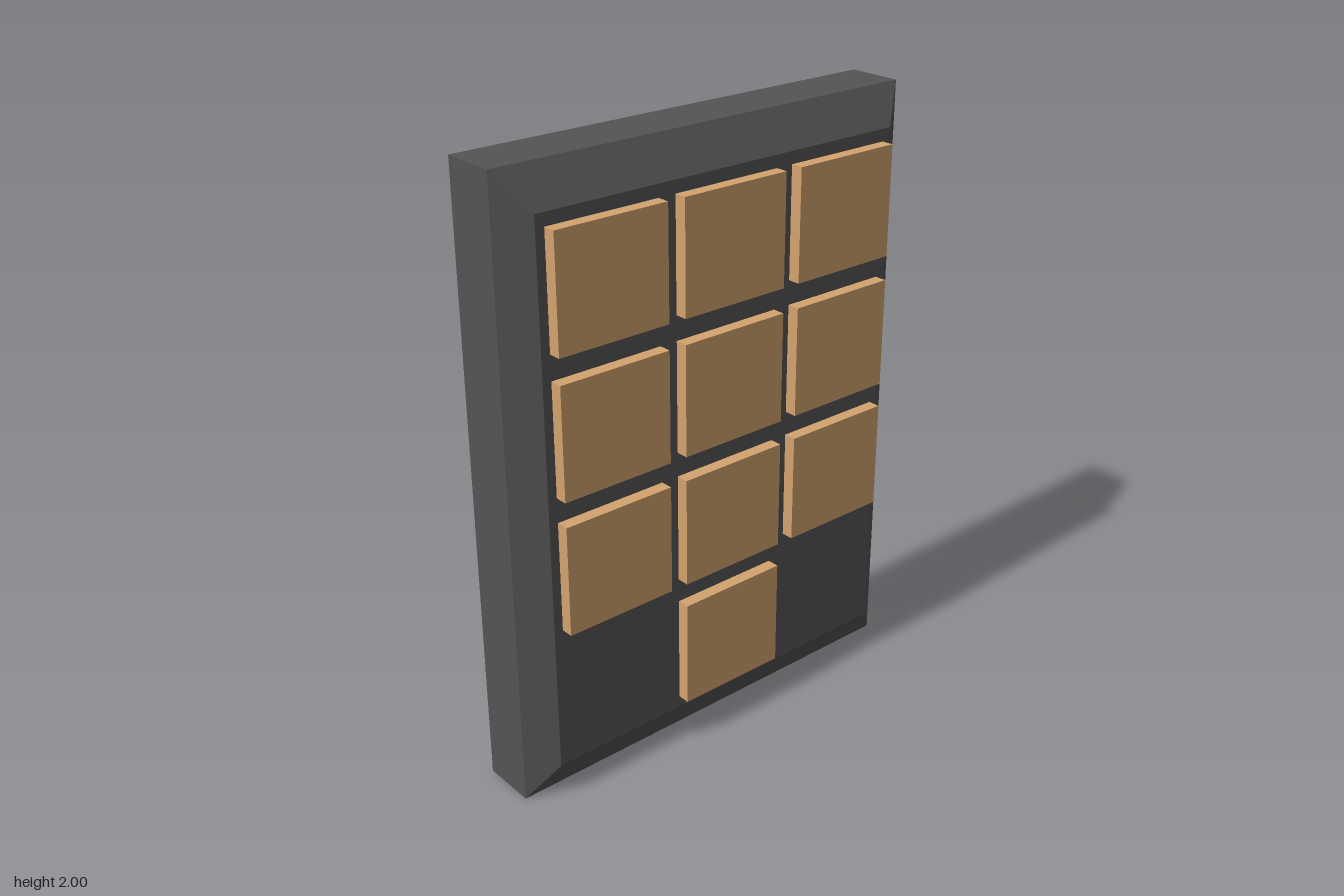
import * as THREE from 'three';

const HEIGHT = 2, WIDTH = 1.51;
const BACK = -0.147, SHOULDER = 0.035, FACE = 0.104, KEY_TOP = 0.145;

// Slab facing +x whose front edge is chamfered on all four sides
function chamferedSlab() {
  const geo = new THREE.BoxGeometry(2, HEIGHT, WIDTH, 2, 1, 1).toNonIndexed();
  const pos = geo.attributes.position;
  for (let i = 0; i < pos.count; i++) {
    const x = pos.getX(i);
    if (x > 0.5) {
      pos.setXYZ(i, FACE, Math.sign(pos.getY(i)) * 0.88, Math.sign(pos.getZ(i)) * 0.664);
    } else {
      pos.setX(i, x < -0.5 ? BACK : SHOULDER);
    }
  }
  geo.computeVertexNormals();
  return geo;
}

export function createModel() {
  const group = new THREE.Group();
  group.name = 'keypad';
  const bodyMat = new THREE.MeshStandardMaterial({ color: 0x545454 });
  const keyMat = new THREE.MeshStandardMaterial({ color: 0xd3a36e });

  // Housing
  const body = new THREE.Mesh(chamferedSlab(), bodyMat);
  body.name = 'housing';
  body.position.y = HEIGHT / 2;
  group.add(body);

  // Keys: three full rows and a single centred key below
  const depth = KEY_TOP - FACE + 0.01;
  const keyGeo = new THREE.BoxGeometry(depth, 0.36, 0.383);
  for (let row = 0; row < 4; row++) {
    for (let col = -1; col <= 1; col++) {
      if (row === 3 && col !== 0) continue;
      const key = new THREE.Mesh(keyGeo, keyMat);
      key.name = `key_row${row + 1}_column${col + 2}`;
      key.position.set(KEY_TOP - depth / 2, 1.66 - row * 0.44, -col * 0.443);
      group.add(key);
    }
  }
  return group;
}
